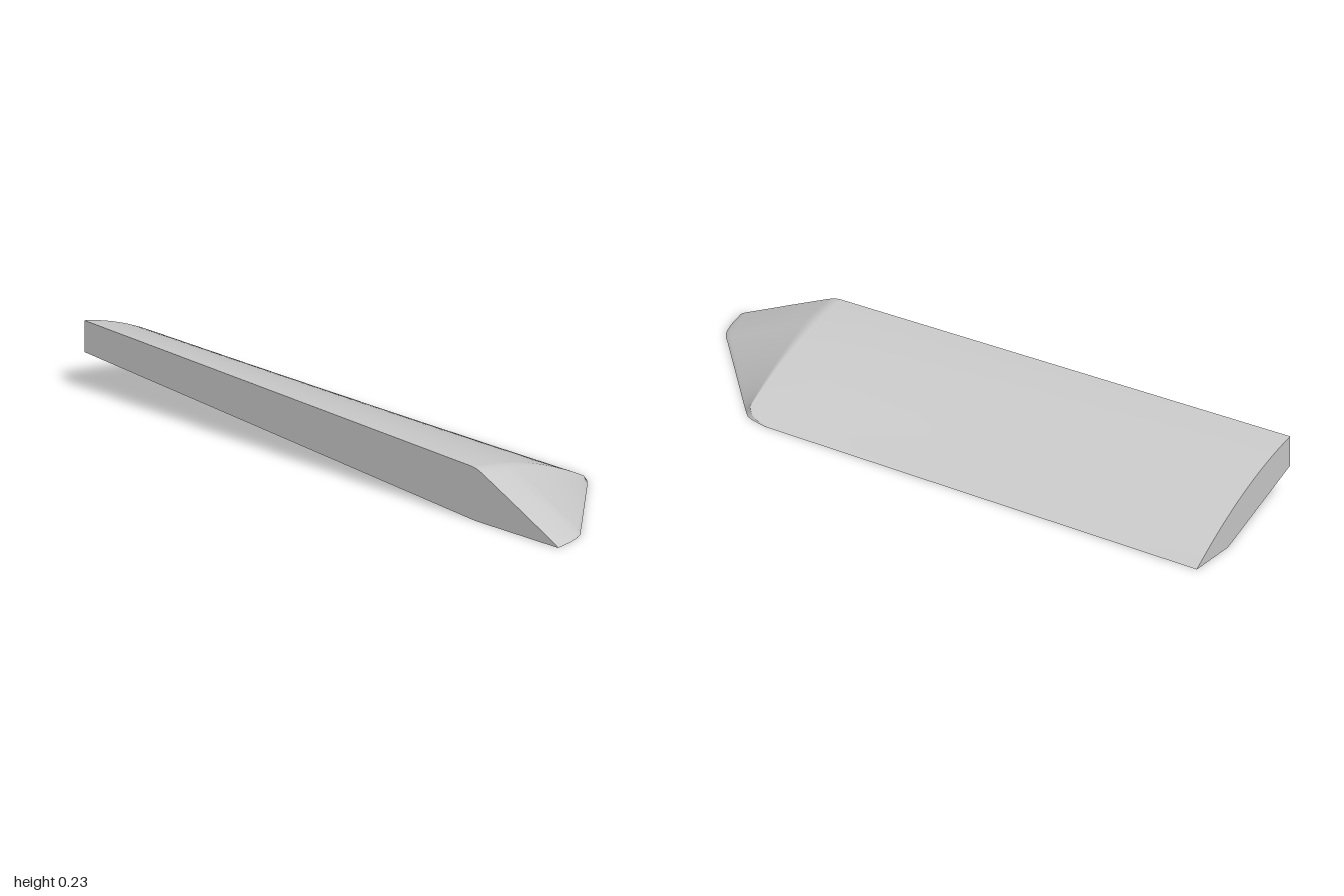
import * as THREE from 'three';

const SIDE = -0.26; // x of the flat long wall
const material = new THREE.MeshStandardMaterial({ color: 0xcccccc, side: THREE.DoubleSide });

// Plan outline of the pointed end: [x, z]
const outline = [[-0.26, 1], [-0.2, 0.99], [-0.15, 0.975], [-0.12, 0.957], [-0.1, 0.937],
  [0.21, 0.655], [0.235, 0.63], [0.249, 0.6], [0.257, 0.55]];
// Fall of the sloped end: [fraction of run, fraction of height]
const fall = [[0, 1], [0.05, 0.985], [0.09, 0.955], [0.13, 0.92], [0.5, 0.54], [0.95, 0.07], [0.98, 0.035], [1, 0]];

function lookup(table, x) {
  let i = 1;
  while (i < table.length - 1 && x > table[i][0]) i++;
  const [a, b] = [table[i - 1], table[i]];
  return THREE.MathUtils.lerp(a[1], b[1], THREE.MathUtils.clamp((x - a[0]) / (b[0] - a[0]), 0, 1));
}

// Arched cross-sections at the back (k = 0) and at the shoulder (k = 1)
const lerp = THREE.MathUtils.lerp;
const width = k => lerp(0.488, 0.517, k);
function arch(u, k) {
  const back = 0.23 * (1 - 0.43 * u - 0.57 * u * u);
  const shoulder = 0.169 * (1 - 0.27 * u - 0.73 * u * u);
  return lerp(back, shoulder, k);
}

// Curved top: ruled body rows, then the rounded shoulder and sloped tip
function topSurface() {
  const N = 48, M = 10, rows = [];
  const shoulderZ = x => Math.min(0.635, lookup(outline, x) - 0.015);
  for (let r = 0; r <= M; r++) {
    const k = r / M, row = [];
    for (let i = 0; i <= N; i++) {
      const u = i / N, x = SIDE + u * width(k);
      row.push([x, arch(u, k), lerp(-1, shoulderZ(SIDE + u * width(1)), k)]);
    }
    rows.push(row);
  }
  for (const [t, f] of fall.slice(1)) {
    rows.push(rows[M].map(([x, y, z]) => [x, y * f, lerp(z, lookup(outline, x), t)]));
  }
  const index = [], stride = N + 1;
  for (let r = 0; r < rows.length - 1; r++) {
    for (let i = 0; i < N; i++) {
      const a = r * stride + i, b = a + 1, c = a + stride, d = c + 1;
      index.push(a, c, b, b, c, d);
    }
  }
  const g = new THREE.BufferGeometry();
  g.setAttribute('position', new THREE.Float32BufferAttribute(rows.flat(2), 3));
  g.setIndex(index);
  g.computeVertexNormals();
  return { geometry: g, rows };
}

// Flat polygon facing along the given direction
function flatFace(points, outward) {
  const p = points.map(q => new THREE.Vector3(...q));
  const n = new THREE.Vector3(...outward);
  const axes = Math.abs(n.x) > 0.7 ? ['z', 'y'] : Math.abs(n.y) > 0.7 ? ['x', 'z'] : ['x', 'y'];
  const flat = p.map(q => new THREE.Vector2(q[axes[0]], q[axes[1]]));
  const pos = [];
  for (const [a, b, c] of THREE.ShapeUtils.triangulateShape(flat, [])) {
    const cross = p[b].clone().sub(p[a]).cross(p[c].clone().sub(p[a]));
    const order = cross.dot(n) > 0 ? [a, b, c] : [a, c, b];
    order.forEach(i => pos.push(...p[i].toArray()));
  }
  const g = new THREE.BufferGeometry();
  g.setAttribute('position', new THREE.Float32BufferAttribute(pos, 3));
  g.computeVertexNormals();
  return g;
}

export function createModel() {
  const group = new THREE.Group();
  const add = (name, geometry) => {
    const mesh = new THREE.Mesh(geometry, material);
    mesh.name = name;
    group.add(mesh);
  };

  const { geometry, rows } = topSurface();
  add('curvedTop', geometry);

  // Corners of the underside cut, rising towards the back
  const wallCorner = [SIDE, 0.13, -1], backCorner = [0.065, 0, -1], heel = [SIDE, 0, 0.65];
  const tip = [SIDE, 0, 1];

  add('longWall', flatFace([wallCorner, ...rows.map(r => r[0]).slice(0, -1), tip, heel], [-1, 0, 0]));
  add('backEnd', flatFace([...rows[0], backCorner, wallCorner], [0, 0, -1]));
  add('undersideCut', flatFace([wallCorner, backCorner, heel], [0, -1, 0]));
  add('flatBase', flatFace([backCorner, rows[0].at(-1),
    ...rows.at(-1).slice().reverse(), heel], [0, -1, 0]));
  return group;
}
